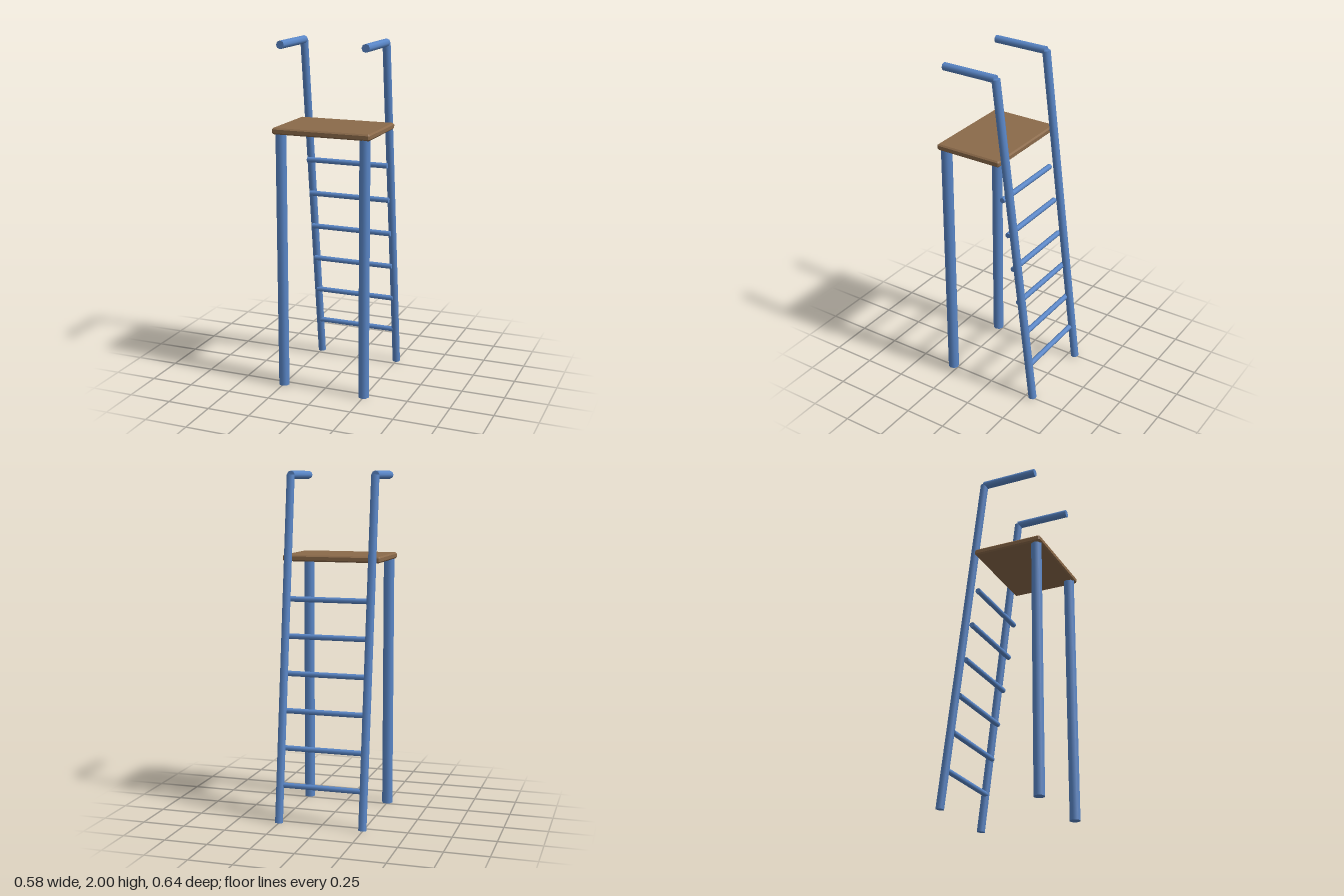
import * as THREE from 'three';

const blue = new THREE.MeshStandardMaterial({ color: 0x5a87c8 });
blue.name = 'blue paint';
const brown = new THREE.MeshStandardMaterial({ color: 0x8b6a4a });
brown.name = 'brown wood';

// Eight-sided bar between two points
function bar(name, from, to, radius) {
  const a = new THREE.Vector3(...from);
  const b = new THREE.Vector3(...to);
  const mesh = new THREE.Mesh(new THREE.CylinderGeometry(radius, radius, a.distanceTo(b), 8), blue);
  mesh.name = name;
  mesh.position.copy(a).add(b).multiplyScalar(0.5);
  mesh.quaternion.setFromUnitVectors(new THREE.Vector3(0, 1, 0), b.sub(a).normalize());
  return mesh;
}

// Flat board with chamfered corners and edges
function createPlatform() {
  const w = 0.288, d = 0.205, c = 0.008, height = 0.036;
  const shape = new THREE.Shape([
    [w - c, -d], [w, -d + c], [w, d - c], [w - c, d],
    [-w + c, d], [-w, d - c], [-w, -d + c], [-w + c, -d],
  ].map(([x, y]) => new THREE.Vector2(x, y)));
  const geometry = new THREE.ExtrudeGeometry(shape, {
    depth: height - 2 * c, bevelSize: c, bevelThickness: c, bevelOffset: -c, bevelSegments: 1,
  });
  geometry.center().rotateX(-Math.PI / 2);
  const mesh = new THREE.Mesh(geometry, brown);
  mesh.name = 'platform';
  mesh.position.set(0, 1.507, 0.114);
  return mesh;
}

export function createModel() {
  const model = new THREE.Group();
  model.name = 'ladderPlatform';
  model.add(createPlatform());

  // Legs, leaning ladder rails and handles, one set on each side
  for (const [side, s] of [['left', 1], ['right', -1]]) {
    const x = s * 0.248;
    model.add(
      bar(side + 'FrontLeg', [x, 0, 0.282], [x, 1.495, 0.282], 0.032),
      bar(side + 'Rail', [x, 0.003, -0.295], [x, 1.977, -0.051], 0.024),
      bar(side + 'Handle', [x, 1.977, -0.05], [x, 1.977, 0.279], 0.0235),
    );
  }

  // Rungs
  for (let i = 0; i < 6; i++) {
    const y = 0.218 + i * 0.211;
    const z = -0.261 + i * 0.035;
    model.add(bar('rung' + (i + 1), [-0.248, y, z], [0.248, y, z], 0.016));
  }
  return model;
}
